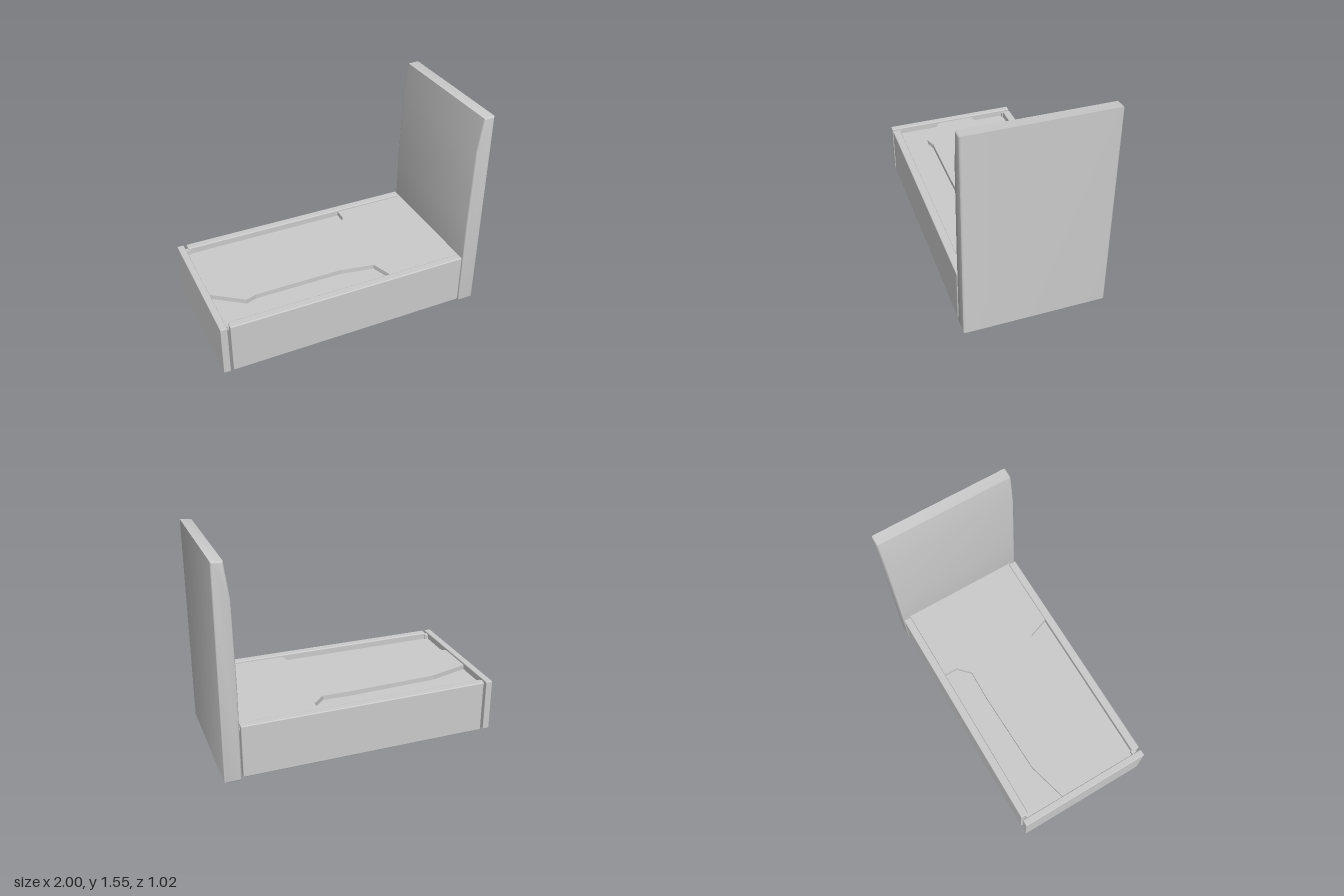
import * as THREE from 'three';
import { RoundedBoxGeometry } from 'three/addons/geometries/RoundedBoxGeometry.js';
import { toCreasedNormals } from 'three/addons/utils/BufferGeometryUtils.js';

const material = new THREE.MeshStandardMaterial({ color: 0xcccccc });

function addMesh(group, name, geometry) {
  const mesh = new THREE.Mesh(geometry, material);
  mesh.name = name;
  group.add(mesh);
  return mesh;
}

// Box given by its limits on each axis, with softly rounded edges
function addBox(group, name, [x0, x1], [y0, y1], [z0, z1], radius = 0) {
  const size = [x1 - x0, y1 - y0, z1 - z0];
  const geometry = radius
    ? new RoundedBoxGeometry(...size, 2, radius)
    : new THREE.BoxGeometry(...size);
  geometry.translate((x0 + x1) / 2, (y0 + y1) / 2, (z0 + z1) / 2);
  return addMesh(group, name, geometry);
}

const outline = (points) => new THREE.Shape(points.map((p) => new THREE.Vector2(...p)));

export function createModel() {
  const bed = new THREE.Group();
  bed.name = 'bedFrame';

  // Tall headboard: side profile with a sloping upper front, swept across the width
  const profile = outline([
    [0.885, 0], [1, 0], [1, 1.55], [0.92, 1.545], [0.888, 1.3], [0.878, 0.7], [0.88, 0.02],
  ]);
  const bevel = 0.012;
  const headboard = new THREE.ExtrudeGeometry(profile, {
    depth: 1.02 - 2 * bevel, bevelEnabled: true, bevelSize: bevel,
    bevelThickness: bevel, bevelOffset: -bevel, bevelSegments: 3,
  });
  headboard.translate(0, 0, -0.51 + bevel);
  addMesh(bed, 'headboard', toCreasedNormals(headboard, 0.6));

  // Low footboard
  addBox(bed, 'footboard', [-1, -0.95], [0.02, 0.41], [-0.51, 0.51], 0.006);

  // Side rails, with small tongues bridging the gaps at both ends
  for (const [side, s] of [['left', 1], ['right', -1]]) {
    const span = (a, b) => (s > 0 ? [a, b] : [-b, -a]);
    addBox(bed, side + 'Rail', [-0.93, 0.87], [0.02, 0.41], span(0.45, 0.51), 0.008);
    addBox(bed, side + 'FootTongue', [-0.955, -0.92], [0.36, 0.395], span(0.44, 0.475));
    addBox(bed, side + 'HeadTongue', [0.86, 0.89], [0.36, 0.395], span(0.44, 0.475));
  }

  // Deck floor, seen in the side recesses and from below
  addBox(bed, 'deckFloor', [-0.955, 0.89], [0.34, 0.36], [-0.455, 0.455]);

  // Deck top, cut away along both sides
  const deck = new THREE.ExtrudeGeometry(outline([
    [-0.952, 0.11], [-0.73, 0.27], [-0.65, 0.245], [0, 0.245], [0.25, 0.29], [0.31, 0.455],
    [0.89, 0.455], [0.89, -0.455], [0.31, -0.455], [0.31, -0.35], [0.22, -0.265],
    [0, -0.27], [-0.65, -0.25], [-0.952, -0.17],
  ]), { depth: 0.035, bevelEnabled: false });
  deck.rotateX(Math.PI / 2).translate(0, 0.395, 0);
  addMesh(bed, 'deckTop', deck);

  return bed;
}
